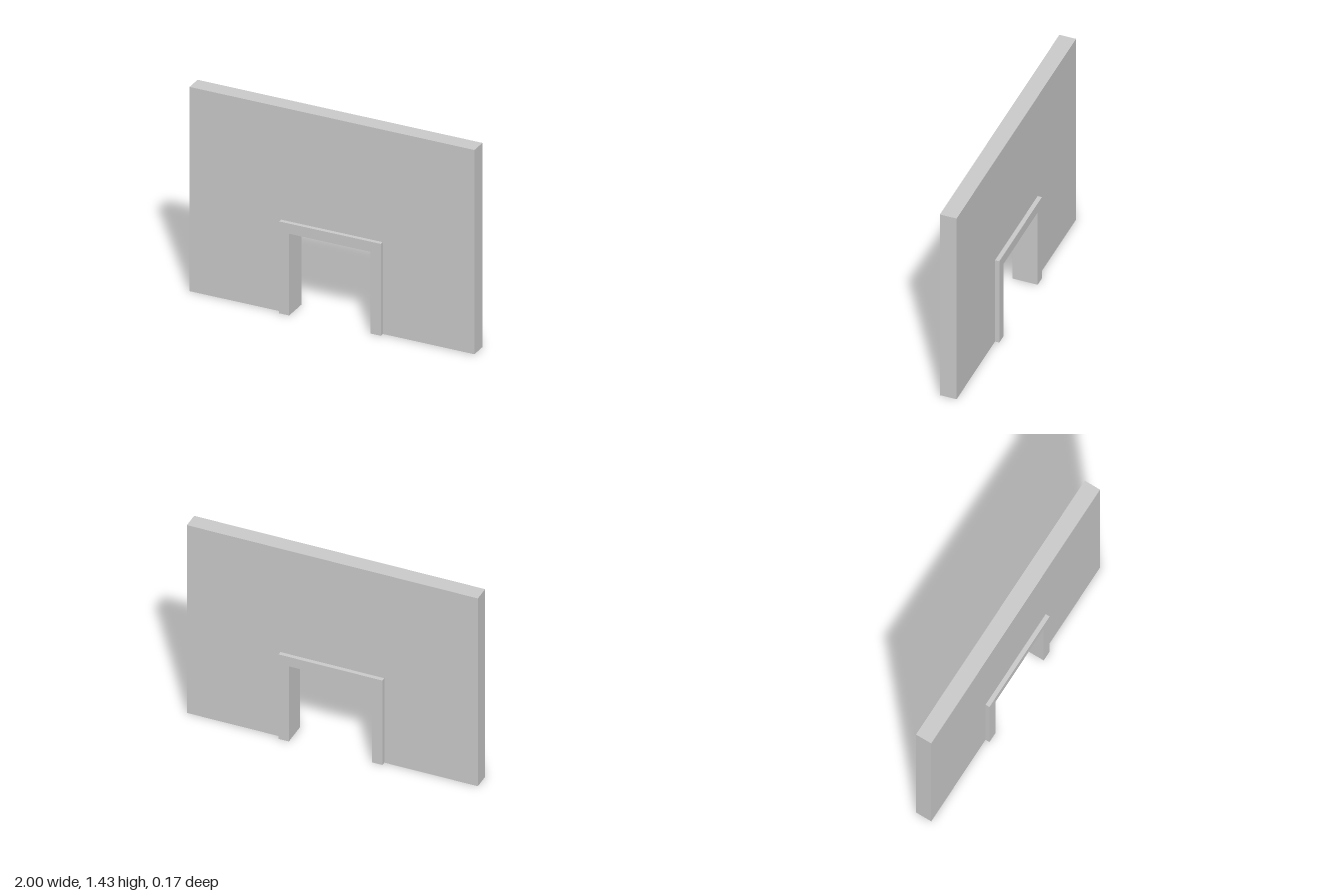
import * as THREE from 'three';

const WALL = { halfWidth: 1, height: 1.43, depth: 0.113 };
const FRAME = { halfWidth: 0.357, height: 0.643, depth: 0.171 };
const OPENING = { halfWidth: 0.286, height: 0.572 };

// Upside-down U outline standing on y = 0, extruded evenly about z = 0
function archway(name, outer, inner, material) {
  const shape = new THREE.Shape([
    [-outer.halfWidth, 0],
    [-inner.halfWidth, 0],
    [-inner.halfWidth, inner.height],
    [inner.halfWidth, inner.height],
    [inner.halfWidth, 0],
    [outer.halfWidth, 0],
    [outer.halfWidth, outer.height],
    [-outer.halfWidth, outer.height],
  ].map(([x, y]) => new THREE.Vector2(x, y)));
  const geometry = new THREE.ExtrudeGeometry(shape, { depth: outer.depth, bevelEnabled: false });
  geometry.translate(0, 0, -outer.depth / 2);
  const mesh = new THREE.Mesh(geometry, material);
  mesh.name = name;
  return mesh;
}

export function createModel() {
  const group = new THREE.Group();
  group.name = 'wallWithDoorway';
  const material = new THREE.MeshStandardMaterial({ color: 0xcccccc });

  // Wall panel, cut out to receive the frame
  group.add(archway('wall', WALL, FRAME, material));
  // Door frame, standing proud of both wall faces
  group.add(archway('doorFrame', FRAME, OPENING, material));

  return group;
}
